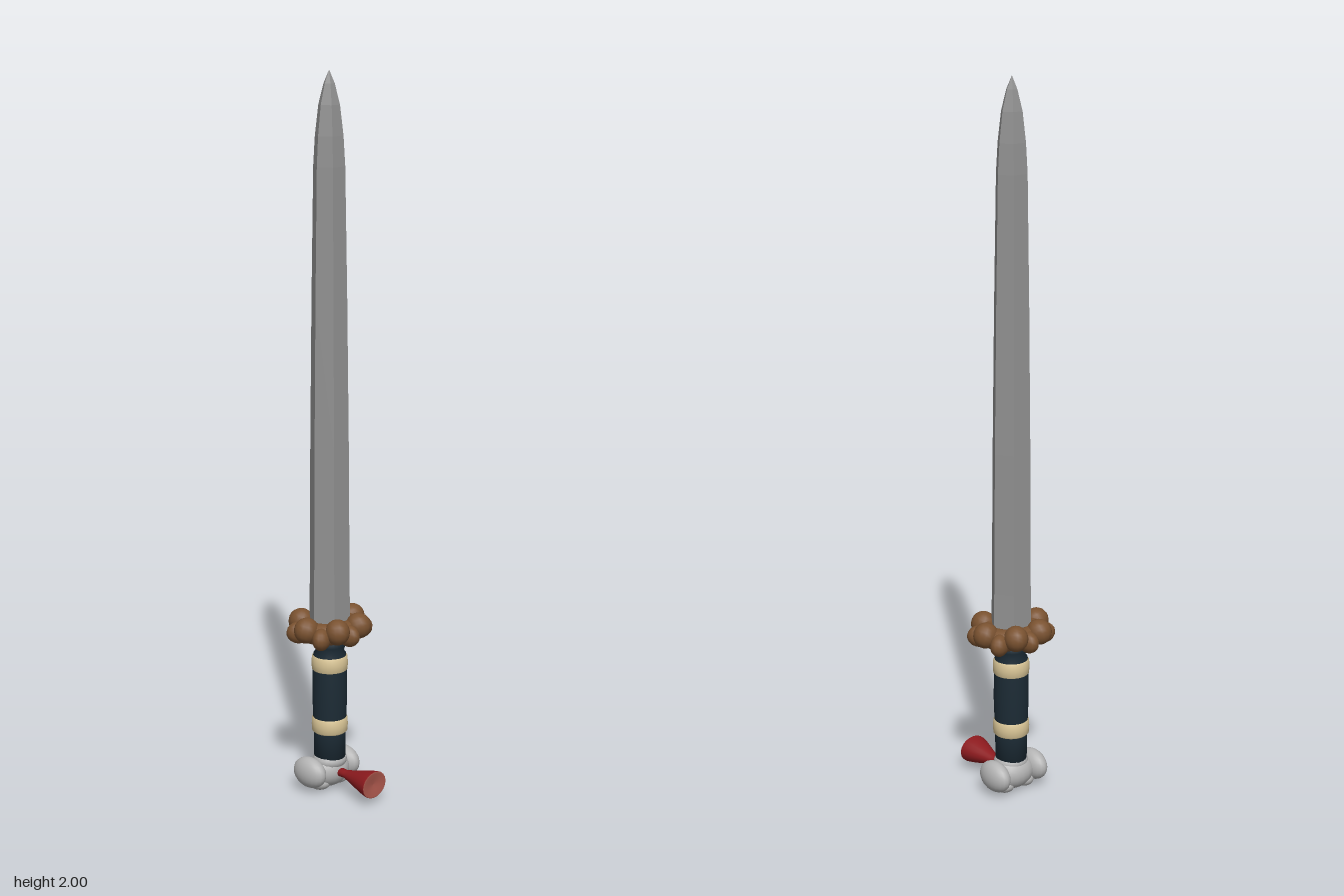
import * as THREE from 'three';

const AXIS = -0.035; // x of the sword's long axis

const material = (name, color, flatShading = false) => {
  const m = new THREE.MeshStandardMaterial({ color, flatShading });
  m.name = name;
  return m;
};

export function createModel() {
  const steel = material('steel', 0x929292, true);
  const silver = material('silver', 0xb4b4b4);
  const brown = material('brown', 0x7a5230);
  const navy = material('navy', 0x1c2b35);
  const cream = material('cream', 0xd9c596);
  const red = material('red', 0x8c1a1e);
  const rose = material('rose', 0xa9564b);

  const model = new THREE.Group();
  model.name = 'sword';

  const add = (name, geometry, mat, parent = model) => {
    const mesh = new THREE.Mesh(geometry, mat);
    mesh.name = name;
    parent.add(mesh);
    return mesh;
  };
  const lathe = (profile, sides) =>
    new THREE.LatheGeometry(profile.map(([r, y]) => new THREE.Vector2(r, y)), sides);
  const group = (name, x) => {
    const g = new THREE.Group();
    g.name = name;
    g.position.x = x;
    model.add(g);
    return g;
  };

  // Six-sided tapering blade with ridges facing front and back
  const blade = add('blade', lathe([
    [0, 0.46], [0.062, 0.47], [0.06, 0.6], [0.057, 1.0], [0.052, 1.4],
    [0.046, 1.75], [0.041, 1.83], [0.031, 1.91], [0.016, 1.965], [0, 2.0],
  ], 6), steel);
  blade.position.x = AXIS;
  blade.scale.x = 0.92;

  // Lobed guard: a core ring with rounded petals of alternating size
  const guard = group('guard', AXIS);
  const core = add('guardCore', new THREE.TorusGeometry(0.062, 0.03, 12, 36), brown, guard);
  core.rotation.x = Math.PI / 2;
  core.scale.set(0.95, 1.1, 1);
  core.position.y = 0.475;
  const petals = 12;
  for (let i = 0; i < petals; i++) {
    const a = (i / petals) * Math.PI * 2;
    const big = i % 2 === 1;
    const reach = 0.074 + 0.016 * Math.abs(Math.sin(a));
    const petal = add('guardPetal', new THREE.SphereGeometry(1, 14, 10), brown, guard);
    petal.scale.set(0.036, big ? 0.036 : 0.031, big ? 0.034 : 0.025);
    petal.position.set(Math.cos(a) * reach, big ? 0.487 : 0.468, Math.sin(a) * reach);
    petal.rotation.set(0, -a, big ? 0.35 : 0.1, 'YXZ');
  }

  // Wrapped grip with a narrower collar under the guard
  const grip = group('grip', AXIS);
  add('gripWrap', lathe([
    [0, 0.08], [0.044, 0.085], [0.045, 0.17], [0.047, 0.22], [0.049, 0.28],
    [0.048, 0.35], [0.046, 0.4], [0.039, 0.41], [0.045, 0.425], [0.045, 0.445], [0, 0.46],
  ], 28), navy, grip);
  for (const y of [0.193, 0.374]) {
    const band = add('gripBand', lathe([
      [0.044, -0.024], [0.05, -0.018], [0.051, 0], [0.05, 0.018], [0.044, 0.024],
    ], 28), cream, grip);
    band.position.y = y;
  }

  // Pommel: central body, collar and a knob at the front and back
  const pommel = group('pommel', AXIS);
  const ball = (name, radii, position) => {
    const m = add(name, new THREE.SphereGeometry(1, 20, 14), silver, pommel);
    m.scale.set(...radii);
    m.position.set(...position);
  };
  ball('pommelBody', [0.052, 0.05, 0.066], [-0.005, 0.056, 0]);
  ball('pommelCollar', [0.047, 0.03, 0.05], [0, 0.086, 0]);
  for (const s of [-1, 1]) {
    ball('pommelKnob', [0.057, 0.044, 0.031], [-0.012, 0.06, s * 0.067]);
    ball('pommelFoot', [0.036, 0.024, 0.03], [-0.008, 0.026, s * 0.035]);
  }

  // Flared tassel pointing to the left, with a shallow end face
  const tassel = group('tassel', 0);
  tassel.position.y = 0.057;
  tassel.rotation.z = -Math.PI / 2;
  tassel.scale.x = 0.84;
  add('tasselFlare', lathe([
    [0, -0.01], [0.015, 0], [0.013, 0.03], [0.018, 0.045], [0.022, 0.06],
    [0.029, 0.08], [0.039, 0.11], [0.045, 0.133], [0.045, 0.139],
  ], 20), red, tassel);
  add('tasselEnd', lathe([
    [0.045, 0.139], [0.04, 0.14], [0.02, 0.136], [0, 0.134],
  ], 20), rose, tassel);

  return model;
}
